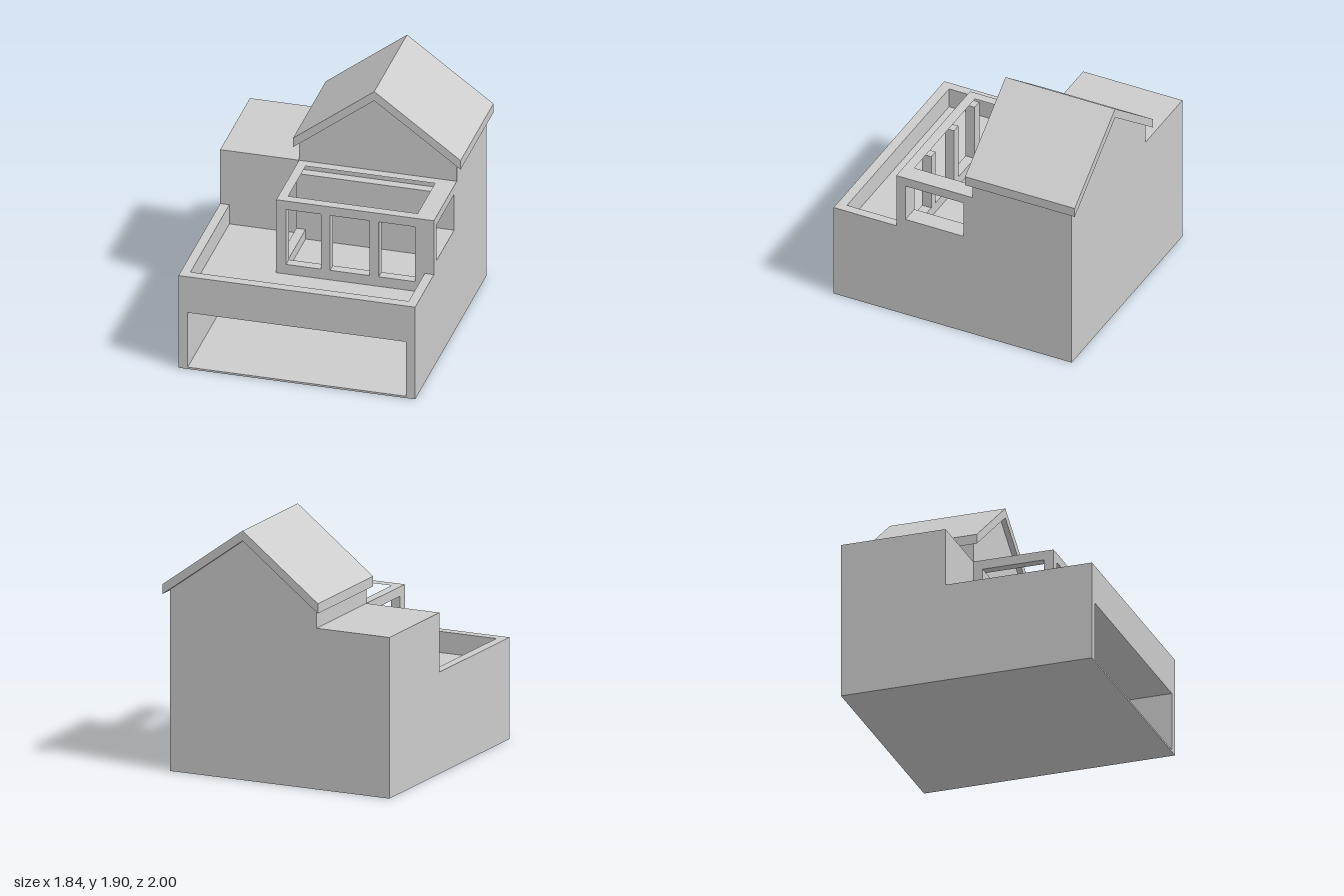
import * as THREE from 'three';

const material = new THREE.MeshStandardMaterial({ color: 0xcccccc, flatShading: true });

// Closed shape from a list of [a, b] corners
const outline = (pts) => new THREE.Shape(pts.map(([a, b]) => new THREE.Vector2(a, b)));
const rect = (x0, x1, y0, y1) => [[x0, y0], [x1, y0], [x1, y1], [x0, y1]];

export function createModel() {
  const model = new THREE.Group();
  model.name = 'house';

  const add = (name, geometry, parent = model) => {
    const mesh = new THREE.Mesh(geometry, material);
    mesh.name = name;
    parent.add(mesh);
    return mesh;
  };

  // Box given by its limits on each axis
  const box = (name, x0, x1, y0, y1, z0, z1, parent) =>
    add(name, new THREE.BoxGeometry(x1 - x0, y1 - y0, z1 - z0)
      .translate((x0 + x1) / 2, (y0 + y1) / 2, (z0 + z1) / 2), parent);

  // Front profile (x, y) pushed through from z0 to z1
  const profile = (name, pts, z0, z1, hole) => {
    const shape = outline(pts);
    if (hole) shape.holes.push(outline(hole));
    return add(name, new THREE.ExtrudeGeometry(shape, { depth: z1 - z0, bevelEnabled: false })
      .translate(0, 0, z0));
  };

  // Floor plan (x, z) raised from y0 to y1
  const plan = (name, pts, y0, y1, hole, parent) => {
    const flip = (list) => outline(list.map(([x, z]) => [x, -z]));
    const shape = flip(pts);
    if (hole) shape.holes.push(flip(hole));
    return add(name, new THREE.ExtrudeGeometry(shape, { depth: y1 - y0, bevelEnabled: false })
      .rotateX(-Math.PI / 2).translate(0, y0, 0), parent);
  };

  const L = -0.92, R = 0.88, back = -0.955, mid = -0.14;
  const floor = 0.61, rail = 0.77, top = 1.22;

  // Ground storey with a wide open garage
  profile('garage', rect(L, R, 0, floor), -0.88, 1, rect(-0.85, 0.81, 0.015, 0.47));
  box('garageBackWall', L, R, 0, floor, back, -0.88);

  // Terrace parapet, running round to the sunroom
  plan('terraceParapet', [[L, mid], [-0.85, mid], [-0.85, 0.925], [0.81, 0.925],
    [0.81, 0.485], [R, 0.485], [R, 1], [L, 1]], floor, rail);

  // Upper storey: flat-roofed wing and gabled house
  const houseL = -0.32;
  box('flatRoofWing', L, houseL, floor, top, back, mid);
  profile('gabledHouse', [[houseL, floor], [R, floor], [R, 1.374], [0.263, 1.824],
    [houseL, 1.372]], back, mid);

  // Gable roof with overhang
  profile('gableRoof', [[-0.355, 1.345], [0.263, 1.824], [0.92, 1.345], [0.92, 1.42],
    [0.263, 1.9], [-0.355, 1.42]], -1, -0.1);

  // Open-topped sunroom on the terrace
  const sunroom = new THREE.Group();
  sunroom.name = 'sunroom';
  model.add(sunroom);
  const front = 0.485, inner = 0.41, sill = 0.69, head = 1.148;
  plan('topFrame', rect(houseL, R, mid, front), head, top,
    rect(-0.25, 0.735, -0.067, inner), sunroom);
  box('backPanel', houseL, R, floor, head, mid, -0.067, sunroom);
  box('frontSill', houseL, R, floor, sill, inner, front, sunroom);
  box('leftSill', houseL, -0.25, floor, sill, -0.067, inner, sunroom);
  box('rightSill', 0.735, R, floor, 0.85, -0.067, inner, sunroom);
  for (const [x0, x1] of [[houseL, -0.245], [0.02, 0.09], [0.39, 0.46], [0.735, R]])
    box('frontPost', x0, x1, sill, head, inner, front, sunroom);

  return model;
}
